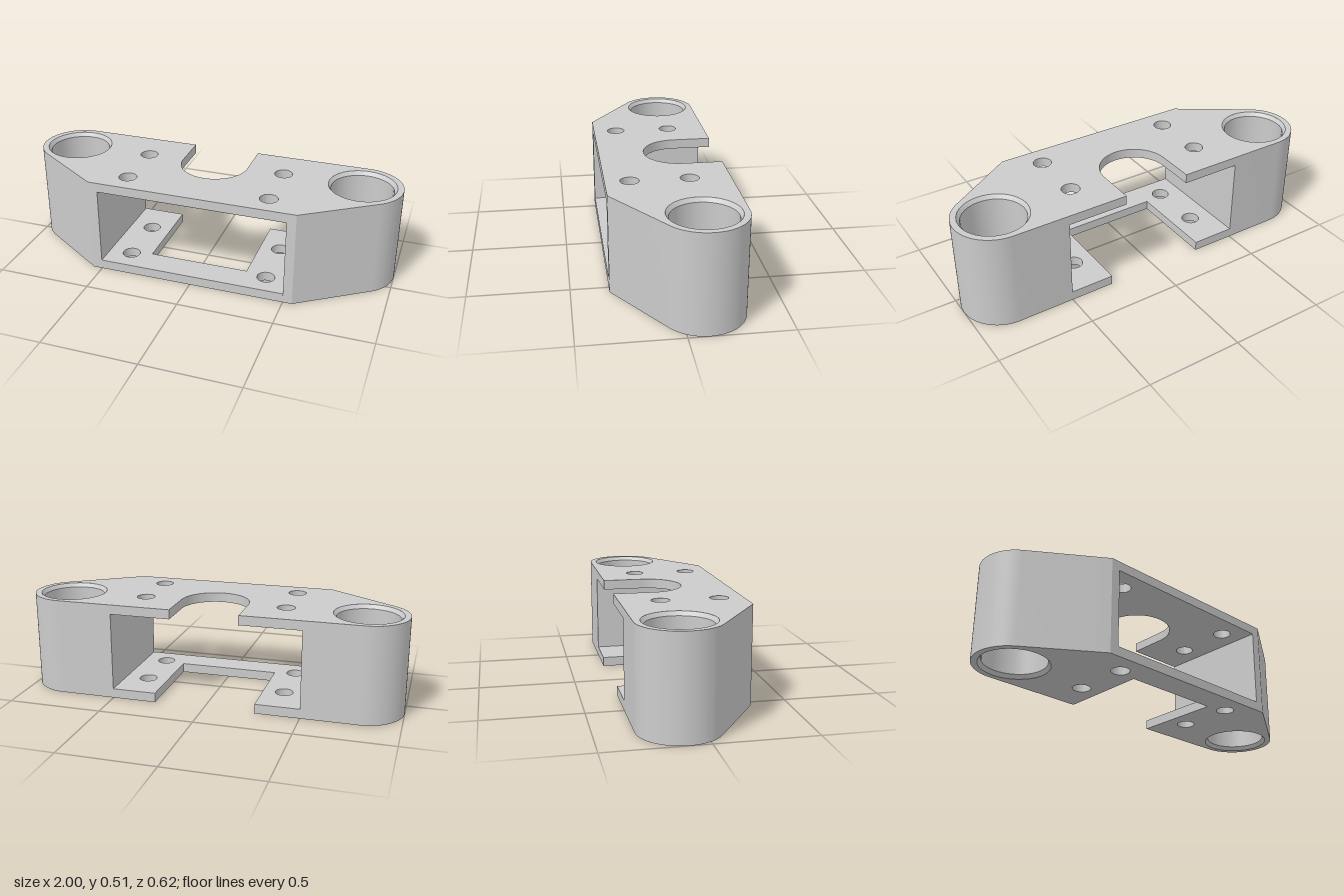
import * as THREE from 'three';
import { toCreasedNormals } from 'three/addons/utils/BufferGeometryUtils.js';

const H = 0.51, T = 0.05;            // total height, plate thickness
const BACK = -0.31, FRONT = 0.31;    // z limits
const INNER = 0.5;                   // inner wall of the end blocks
const R = 0.207, CX = 1 - R, CZ = BACK + R; // rounded ends
const BORE = 0.16, RIM = 0.175, BEVEL = 0.02;
const CORNER = 0.548;                // where the front turns into the slanted side

const material = new THREE.MeshStandardMaterial({ color: 0xcccccc });

function addMesh(group, name, geometry) {
  const mesh = new THREE.Mesh(toCreasedNormals(geometry, 0.4), material);
  mesh.name = name;
  group.add(mesh);
  return mesh;
}

// Extrudes a shape drawn in (x, z) so that it stands on y = bottom
function slab(shape, bottom, height) {
  const g = new THREE.ExtrudeGeometry(shape, { depth: height, bevelEnabled: false, curveSegments: 48 });
  g.rotateX(Math.PI / 2);
  g.translate(0, bottom + height, 0);
  return g;
}

function hole(x, z, r) {
  return new THREE.Path().absarc(x, z, r, 0, Math.PI * 2, true);
}

// Plate between the end blocks: notch draws the cut in its back edge
function plateShape(notch) {
  const s = new THREE.Shape();
  s.moveTo(INNER, BACK);
  s.lineTo(INNER, FRONT);
  s.lineTo(-INNER, FRONT);
  s.lineTo(-INNER, BACK);
  notch(s);
  s.closePath();
  for (const x of [-0.378, 0.378])
    for (const z of [-0.107, 0.188]) s.holes.push(hole(x, z, 0.047));
  return s;
}

// Full-height end block with a rounded end and a slanted front side
function endShape(side) {
  const dx = CORNER - CX, dz = FRONT - CZ;
  const tangent = Math.atan2(dz, dx) - Math.acos(R / Math.hypot(dx, dz));
  const pts = [new THREE.Vector2(CORNER, FRONT), new THREE.Vector2(INNER, FRONT), new THREE.Vector2(INNER, BACK)];
  const n = 40;
  for (let i = 0; i <= n; i++) {
    const a = -Math.PI / 2 + (tangent + Math.PI / 2) * i / n;
    pts.push(new THREE.Vector2(CX + R * Math.cos(a), CZ + R * Math.sin(a)));
  }
  pts.forEach(p => { p.x *= side; });
  const s = new THREE.Shape(pts);
  s.holes.push(hole(side * CX, CZ, RIM));
  return s;
}

export function createModel() {
  const model = new THREE.Group();
  model.name = 'clampBracket';

  // Top plate with a U-shaped notch
  const u = 0.18, uz = -0.105;
  addMesh(model, 'topPlate', slab(plateShape(s => {
    s.lineTo(-u, BACK);
    s.lineTo(-u, uz);
    s.absarc(0, uz, u, Math.PI, 0, true);
    s.lineTo(u, BACK);
  }), H - T, T));

  // Bottom plate with a wider rectangular notch
  const w = 0.267, wz = 0.163;
  addMesh(model, 'bottomPlate', slab(plateShape(s => {
    s.lineTo(-w, BACK);
    s.lineTo(-w, wz);
    s.lineTo(w, wz);
    s.lineTo(w, BACK);
  }), 0, T));

  // End blocks, each with a bore bevelled at both rims
  const profile = [[RIM, H], [BORE, H - BEVEL], [BORE, BEVEL], [RIM, 0]].map(p => new THREE.Vector2(...p));
  for (const side of [1, -1]) {
    const label = side > 0 ? 'left' : 'right';
    addMesh(model, label + 'EndBlock', slab(endShape(side), 0, H));
    const bore = addMesh(model, label + 'Bore', new THREE.LatheGeometry(profile, 48));
    bore.position.set(side * CX, 0, CZ);
  }
  return model;
}
